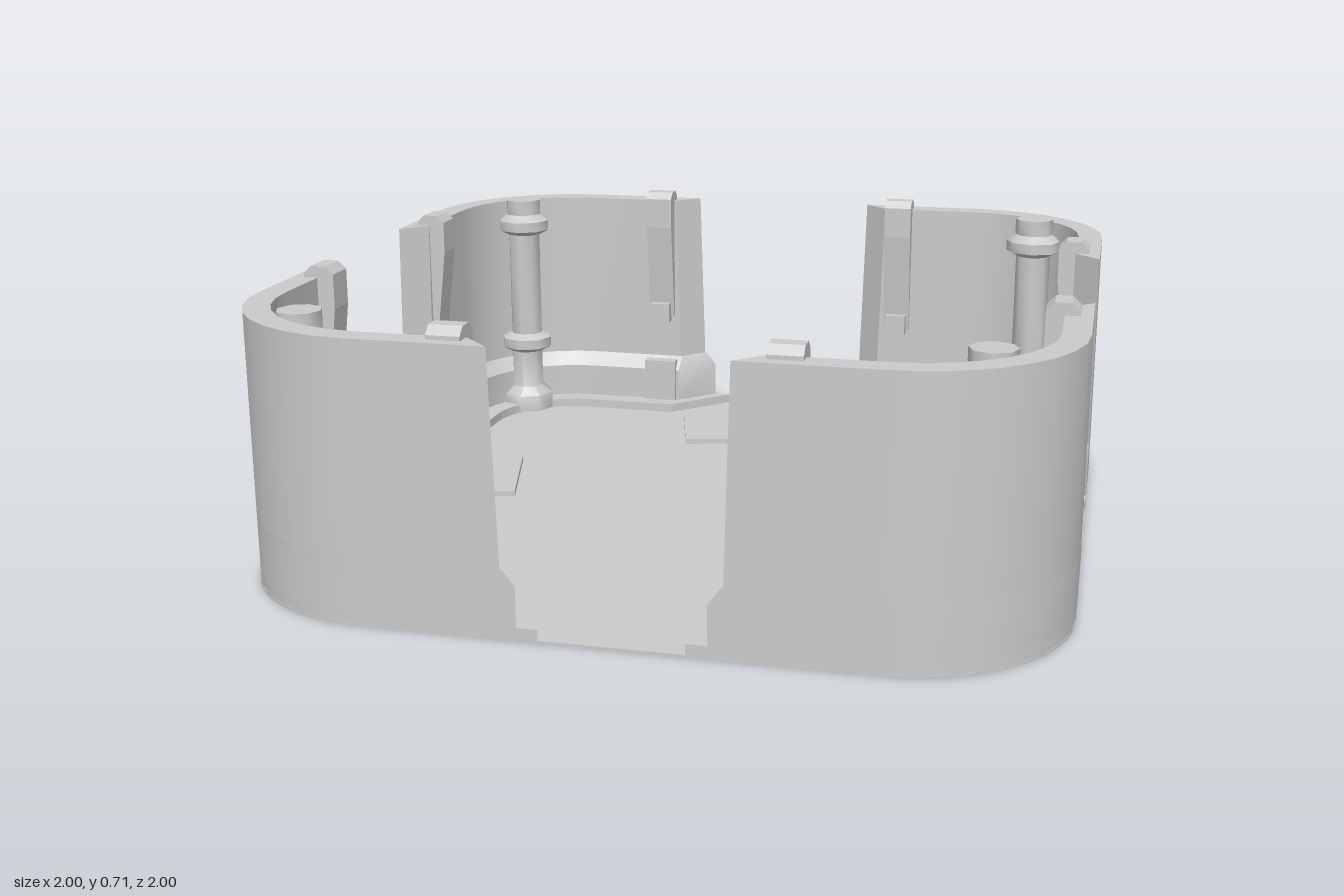
import * as THREE from 'three';
import { toCreasedNormals } from 'three/addons/utils/BufferGeometryUtils.js';

const grey = new THREE.MeshStandardMaterial({ color: 0xcccccc });
const CORNER = 0.6, RADIUS = 0.4, ARC = 8;

function add(parent, name, geometry, x = 0, y = 0, z = 0) {
  const mesh = new THREE.Mesh(geometry, grey);
  mesh.name = name;
  mesh.position.set(x, y, z);
  parent.add(mesh);
  return mesh;
}

// One edge of a corner wall in plan, set in from the outside by `inset`
function edge(inset, end) {
  const r = RADIUS - inset, points = [[1 - inset, end + inset]];
  for (let i = 0; i <= ARC; i++) {
    const a = (i / ARC) * Math.PI / 2;
    points.push([CORNER + r * Math.cos(a), CORNER + r * Math.sin(a)]);
  }
  points.push([end + inset, 1 - inset]);
  return points;
}

// Corner wall section lofted through levels of [y, thickness, end position]
function cornerWall(levels) {
  const position = [], index = [];
  let n = 0;
  for (const [y, inset, end] of levels) {
    const ring = [...edge(0, end), ...edge(inset, end).reverse()];
    n = ring.length;
    for (const [x, z] of ring) position.push(x, y, z);
  }
  for (let l = 0; l < levels.length - 1; l++) {
    for (let i = 0; i < n; i++) {
      const a = l * n + i, b = l * n + (i + 1) % n;
      index.push(a, a + n, b, b, a + n, b + n);
    }
  }
  const top = (levels.length - 1) * n;
  for (let i = 0; i < n / 2 - 1; i++) {
    const a = i, b = i + 1, c = n - 1 - i, d = n - 2 - i;
    index.push(top + a, top + c, top + b, top + b, top + c, top + d);
    index.push(a, b, c, b, d, c);
  }
  const geometry = new THREE.BufferGeometry();
  geometry.setAttribute('position', new THREE.Float32BufferAttribute(position, 3));
  geometry.setIndex(index);
  return toCreasedNormals(geometry, 0.5);
}

// Rounded square slab
function floorGeometry() {
  const shape = new THREE.Shape();
  [[1, 1, 0], [-1, 1, 1], [-1, -1, 2], [1, -1, 3]].forEach(([sx, sy, q]) => {
    shape.absarc(sx * CORNER, sy * CORNER, RADIUS, q * Math.PI / 2, (q + 1) * Math.PI / 2);
  });
  const geometry = new THREE.ExtrudeGeometry(shape, { depth: 0.006, bevelEnabled: false, curveSegments: ARC });
  return geometry.rotateX(-Math.PI / 2);
}

// Column with three collars
function columnGeometry() {
  const profile = [[0, 0.01], [0.08, 0.01], [0.08, 0.06], [0.05, 0.085],
    [0.05, 0.2], [0.08, 0.215], [0.08, 0.245], [0.05, 0.26],
    [0.05, 0.58], [0.08, 0.595], [0.08, 0.625], [0.055, 0.645], [0.055, 0.69], [0, 0.69]];
  const geometry = new THREE.LatheGeometry(profile.map(([x, y]) => new THREE.Vector2(x, y)), 8);
  return toCreasedNormals(geometry, 0.85);
}

// Tapered strut hooked over the wall top
function strutGeometry() {
  const shape = new THREE.Shape([[0.97, 0.66], [0.97, 0.69], [0.95, 0.71], [0.91, 0.71],
    [0.89, 0.69], [0.89, 0.6], [0.925, 0.3], [0.95, 0.3], [0.95, 0.66]]
    .map(([x, y]) => new THREE.Vector2(x, y)));
  return new THREE.ExtrudeGeometry(shape, { depth: 0.08, bevelEnabled: false }).translate(0, 0, -0.04);
}

export function createModel() {
  const model = new THREE.Group();
  model.name = 'roomTile';
  add(model, 'floor', floorGeometry());

  // Loose plates on the floor
  [[-0.085, -0.715], [-0.75, -0.05]].forEach(([x, z]) => {
    add(model, 'floorPlate', new THREE.BoxGeometry(0.33, 0.02, 0.33), x, 0.011, z).rotation.y = 0.26;
  });

  const kerb = cornerWall([[0, 0.16, 0.17], [0.032, 0.16, 0.17]]);
  const plinth = cornerWall([[0.032, 0.1, 0.22], [0.13, 0.1, 0.22], [0.17, 0.066, 0.25]]);
  const wall = cornerWall([[0.17, 0.066, 0.255], [0.68, 0.066, 0.27]]);
  const column = columnGeometry();
  const strut = strutGeometry();

  // Four identical corners, a quarter turn apart
  for (let k = 0; k < 4; k++) {
    const corner = new THREE.Group();
    corner.name = 'corner';
    corner.rotation.y = k * Math.PI / 2;
    model.add(corner);
    add(corner, 'kerb', kerb);
    add(corner, 'plinth', plinth);
    add(corner, 'wall', wall);
    add(corner, 'column', column, 0.8, 0, 0.8);

    // One bracket near each end of the wall
    for (const side of [1, -1]) {
      const bracket = new THREE.Group();
      bracket.name = 'wallBracket';
      bracket.rotation.y = side > 0 ? 0 : -Math.PI / 2;
      corner.add(bracket);
      const z = side * 0.38;
      add(bracket, 'strut', strut, 0, 0, z);
      add(bracket, 'lug', new THREE.BoxGeometry(0.05, 0.06, 0.06), 0.917, 0.32, z);
      add(bracket, 'foot', new THREE.BoxGeometry(0.06, 0.13, 0.1), 0.92, 0.096, z);
    }
  }
  return model;
}
